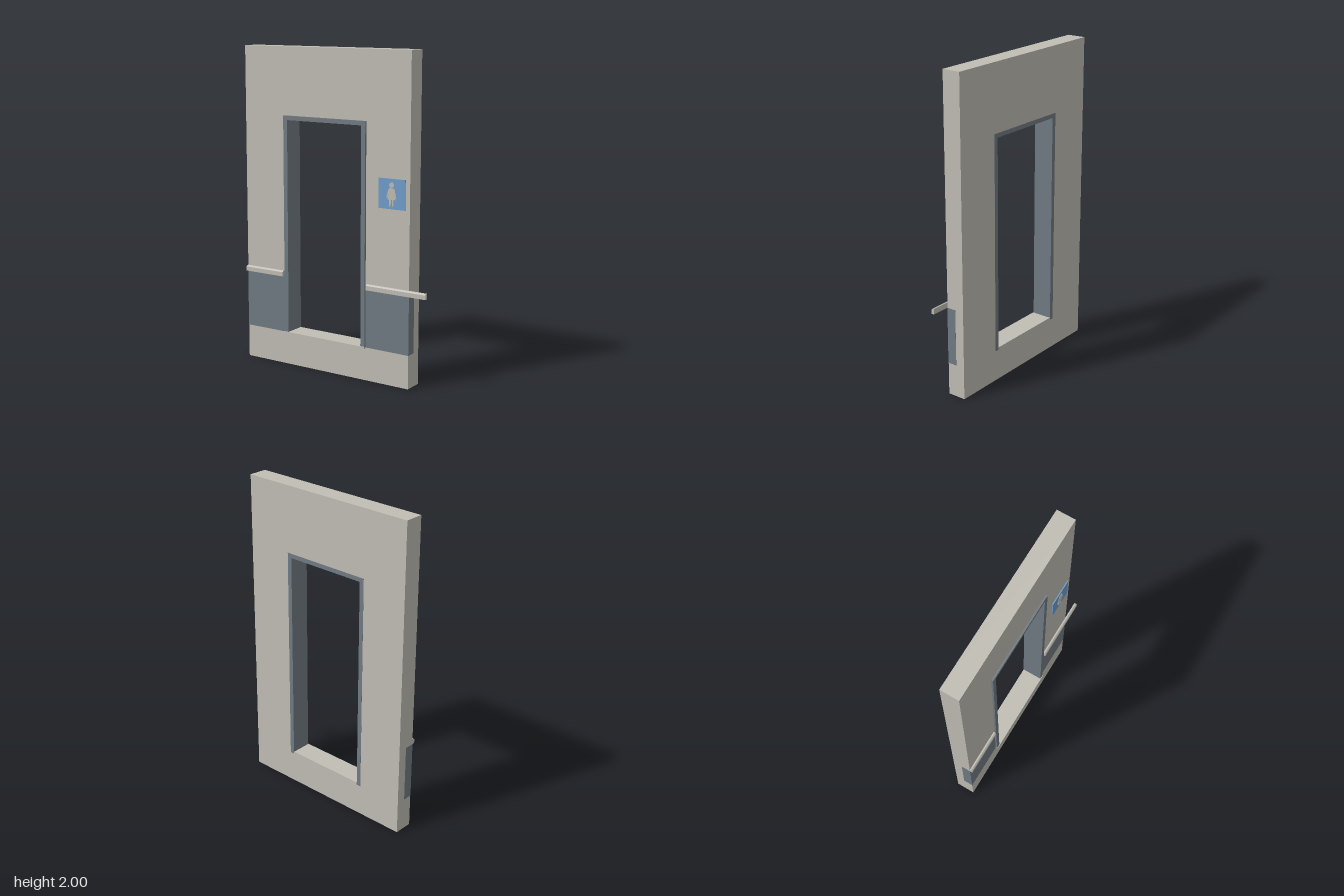
import * as THREE from 'three';

const mat = (name, color) => {
  const m = new THREE.MeshStandardMaterial({ color });
  m.name = name;
  return m;
};

export function createModel() {
  const group = new THREE.Group();
  const stone = mat('warm grey', 0xc0bdb4);
  const slate = mat('slate grey', 0x717b83);
  const blue = mat('sign blue', 0x709dca);

  const add = (name, geometry, material) => {
    const mesh = new THREE.Mesh(geometry, material);
    mesh.name = name;
    group.add(mesh);
    return mesh;
  };
  // Box given by its limits on each axis
  const box = (name, material, x0, x1, y0, y1, z0, z1) => {
    const g = new THREE.BoxGeometry(x1 - x0, y1 - y0, z1 - z0);
    g.translate((x0 + x1) / 2, (y0 + y1) / 2, (z0 + z1) / 2);
    return add(name, g, material);
  };
  const polygon = (pts) => new THREE.Shape(pts.map(([x, y]) => new THREE.Vector2(x, y)));
  const extrude = (shape, depth, z) => new THREE.ExtrudeGeometry(shape,
    { depth, bevelEnabled: false, curveSegments: 10 }).translate(0, 0, z);
  const rect = (x0, x1, y0, y1) => [[x0, y0], [x1, y0], [x1, y1], [x0, y1]];

  const L = -0.657, R = 0.535, back = -0.069, front = 0.05;
  const dl = -0.36, dr = 0.235, sill = 0.2, head = 1.582;

  // Wall with door opening
  const wall = polygon(rect(L, R, 0, 2));
  wall.holes.push(polygon(rect(dl, dr, sill, head)));
  add('wall', extrude(wall, front - back, back), stone);

  // Door frame lining the opening, standing proud at the front
  const frame = polygon([[dl, sill], [dl + 0.029, sill], [dl + 0.029, head - 0.027],
    [dr - 0.029, head - 0.027], [dr - 0.029, sill], [dr, sill], [dr, head], [dl, head]]);
  add('doorFrame', extrude(frame, 0.062 - back + 0.001, back - 0.001), slate);
  box('threshold', stone, dl, dr, sill, 0.214, back, 0.066);

  // Wainscot panels wrapping the outer edges of the wall
  const e = 0.001;
  box('rightPanel', slate, L - e, dl, 0.208, 0.57, -0.01, front + e);
  box('leftPanel', slate, dr, R + e, 0.208, 0.57, -0.01, front + e);

  // Handrails with a chamfered top edge
  const rail = (name, x0, x1) => {
    const profile = polygon([[-0.05, 0.57], [-0.05, 0.605], [-0.06, 0.605],
      [-0.068, 0.597], [-0.068, 0.57]]);
    const g = new THREE.ExtrudeGeometry(profile, { depth: x1 - x0, bevelEnabled: false });
    g.rotateY(Math.PI / 2).translate(x0, 0, 0);
    add(name, g, stone);
  };
  rail('rightRail', L, -0.37);
  rail('leftRail', 0.247, 0.655);

  // Sign plate
  box('signPlate', blue, 0.326, 0.505, 1.078, 1.257, front, 0.057);

  // Pictogram: head, dress with arms, legs
  const cx = 0.415, z = 0.057, t = 0.002;
  const disc = new THREE.Shape();
  disc.absarc(cx, 1.22, 0.016, 0, Math.PI * 2);
  add('signHead', extrude(disc, t, z), stone);
  const half = [[0.014, 1.202], [0.021, 1.195], [0.034, 1.146], [0.027, 1.143],
    [0.018, 1.172], [0.028, 1.134], [0.016, 1.134], [0.016, 1.095], [0.004, 1.095],
    [0.004, 1.134]];
  const body = half.map(([x, y]) => [cx + x, y])
    .concat([...half].reverse().map(([x, y]) => [cx - x, y]));
  add('signBody', extrude(polygon(body), t, z), stone);

  return group;
}
